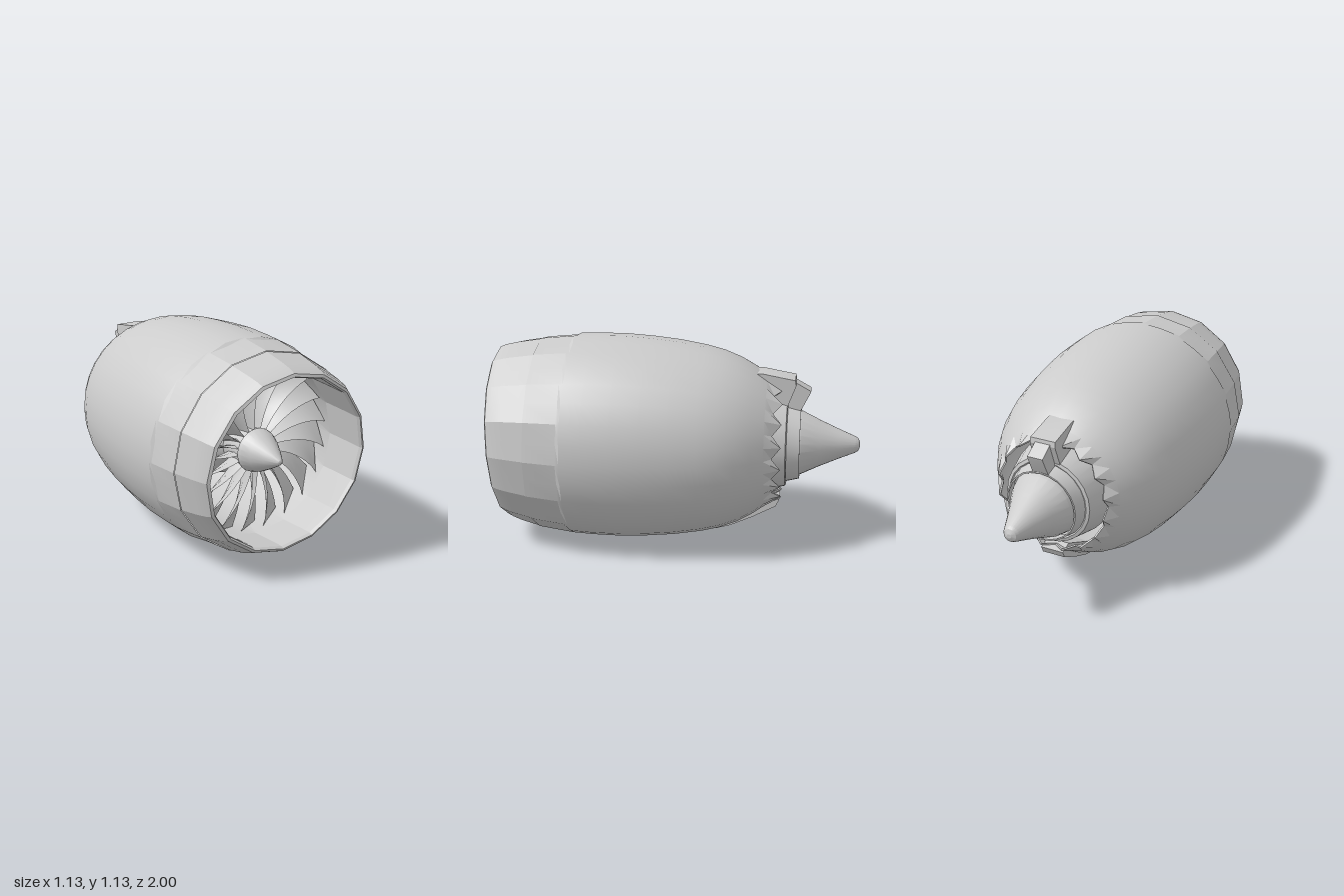
import * as THREE from 'three';
import { toCreasedNormals } from 'three/addons/utils/BufferGeometryUtils.js';

const material = new THREE.MeshStandardMaterial({ color: 0xcccccc, side: THREE.DoubleSide });

// Skin a series of closed cross-section loops
function skin(rings, crease = 0.3) {
  const n = rings[0].length;
  const index = [];
  for (let i = 0; i < rings.length - 1; i++) {
    for (let j = 0; j < n; j++) {
      const k = (j + 1) % n;
      const a = i * n + j, b = a + n, c = (i + 1) * n + k, d = i * n + k;
      index.push(a, d, c, a, c, b);
    }
  }
  const geo = new THREE.BufferGeometry();
  geo.setAttribute('position', new THREE.Float32BufferAttribute(rings.flat(2), 3));
  geo.setIndex(index);
  return toCreasedNormals(geo, crease);
}

// Ring around the engine axis; coarse rings sit on a polygon with half the sides
function ring(z, r, { n = 32, cy = 0.565, tilt = 0, coarse = false, chevron = 0 } = {}) {
  return Array.from({ length: n }, (_, j) => {
    const a = (j / n) * Math.PI * 2;
    const odd = j % 2 === 1;
    const rr = coarse && odd ? r * Math.cos((2 * Math.PI) / n) : r;
    const dz = tilt * Math.cos(a) + (odd ? -chevron : chevron);
    return [rr * Math.sin(a), cy + rr * Math.cos(a), z + dz];
  });
}

function add(parent, name, geo) {
  const mesh = new THREE.Mesh(geo, material);
  mesh.name = name;
  parent.add(mesh);
  return mesh;
}

// Side profile given as [z, y], extruded across x and flared below its top
function fairing(points, width, flare = 0) {
  const shape = new THREE.Shape(points.map(([z, y]) => new THREE.Vector2(-z, y)));
  const geo = new THREE.ExtrudeGeometry(shape, { depth: width, bevelEnabled: false });
  geo.translate(0, 0, -width / 2).rotateY(Math.PI / 2);
  const top = Math.max(...points.map((p) => p[1]));
  const pos = geo.attributes.position;
  for (let i = 0; i < pos.count; i++) {
    pos.setX(i, pos.getX(i) * (1 + flare * (top - pos.getY(i))));
  }
  return toCreasedNormals(geo, 0.3);
}

// One twisted, swept fan blade pointing up from the axis
function bladeGeometry() {
  const rings = [];
  const steps = 8;
  for (let i = 0; i <= steps; i++) {
    const t = i / steps;
    const r = 0.1 + 0.358 * t;
    const stagger = 0.2 + 0.85 * t;
    const chord = 0.13 + 0.045 * t;
    const lead = -0.1 + 0.27 * t * (0.6 + 0.4 * t);
    const thick = 0.006 - 0.002 * t;
    const section = [[0, 0], [0.3, 1], [0.7, 1], [1, 0], [0.7, -1], [0.3, -1]];
    rings.push(section.map(([u, v]) => {
      const camber = 0.012 * Math.sin(Math.PI * u);
      const off = v * thick + camber;
      const side = -u * chord * Math.sin(stagger) + off * Math.cos(stagger);
      const back = u * chord * Math.cos(stagger) + off * Math.sin(stagger);
      const a = lead + side / r;
      return [r * Math.sin(a), r * Math.cos(a), -back - 0.02 * t];
    }));
  }
  return skin(rings, 0.6);
}

export function createModel() {
  const model = new THREE.Group();
  model.name = 'turbofanEngine';

  // Inlet lip with a forward-leaning mouth, sixteen broad facets
  const lip = { coarse: true, cy: 0.57, tilt: 0.027 };
  add(model, 'inletLip', skin([
    ring(0.70, 0.467, { coarse: true }),
    ring(0.88, 0.458, { ...lip, tilt: 0.015 }),
    ring(0.955, 0.455, lip),
    ring(0.973, 0.463, lip),
    ring(0.965, 0.478, lip),
    ring(0.935, 0.492, lip),
    ring(0.88, 0.508, { ...lip, tilt: 0.015 }),
    ring(0.76, 0.533, { coarse: true, cy: 0.568 }),
  ]));

  // Nacelle: duct wall, scalloped trailing edge and outer skin
  const outer = [[0.56, 0.559], [0.45, 0.564], [0.3, 0.565], [0.15, 0.556], [0, 0.541],
    [-0.15, 0.516], [-0.25, 0.491], [-0.34, 0.456], [-0.42, 0.412], [-0.49, 0.363]];
  add(model, 'nacelle', skin([
    ring(0.76, 0.536, { coarse: true, cy: 0.568 }),
    ring(0.58, 0.557, { coarse: true }),
    ...outer.map(([z, r]) => ring(z, r)),
    ring(-0.555, 0.315, { chevron: 0.024 }),
    ring(-0.55, 0.307, { chevron: 0.024 }),
    ring(-0.47, 0.35),
    ring(-0.3, 0.42),
    ring(0, 0.47),
    ring(0.4, 0.475),
    ring(0.7, 0.467, { coarse: true }),
  ]));

  // Fan
  const fan = new THREE.Group();
  fan.name = 'fan';
  fan.position.set(0, 0.56, 0.69);
  model.add(fan);
  const blade = bladeGeometry();
  const count = 20;
  for (let i = 0; i < count; i++) {
    add(fan, 'fanBlade', blade).rotation.z = (i / count) * Math.PI * 2;
  }

  // Spinner and hub
  const hub = { n: 24, cy: 0.56 };
  add(model, 'spinner', skin([
    [0.905, 0.0005], [0.9, 0.012], [0.89, 0.02], [0.83, 0.056], [0.76, 0.093],
    [0.71, 0.113], [0.69, 0.117], [0.685, 0.108], [0.55, 0.112],
  ].map(([z, r]) => ring(z, r, hub))));

  // Core cowl inside the bypass duct, ending in the core nozzle
  add(model, 'coreCowl', skin([
    [0.55, 0.112], [0.45, 0.2], [0.2, 0.27], [-0.2, 0.3], [-0.45, 0.28],
    [-0.6, 0.243], [-0.605, 0.225], [-0.6, 0.218], [-0.675, 0.2], [-0.675, 0.192],
    [-0.6, 0.205],
  ].map(([z, r]) => ring(z, r, hub))));

  // Exhaust cone
  add(model, 'exhaustCone', skin([
    [-0.5, 0.2], [-0.6, 0.197], [-0.68, 0.176], [-0.78, 0.128], [-0.88, 0.084],
    [-0.975, 0.045], [-0.99, 0.035], [-1, 0.012], [-1, 0.0005],
  ].map(([z, r]) => ring(z, r, hub))));

  // Pylon fairing on top of the nozzle
  add(model, 'pylonFairing', fairing([
    [-0.38, 0.96], [-0.46, 0.962], [-0.64, 0.93], [-0.645, 0.9], [-0.6, 0.78], [-0.4, 0.8],
  ], 0.14, 0.5));
  add(model, 'pylonTail', fairing([
    [-0.5, 0.92], [-0.64, 0.912], [-0.725, 0.865], [-0.72, 0.85], [-0.67, 0.75], [-0.5, 0.75],
  ], 0.085, 0.4));

  // Keel fairing under the nozzle
  add(model, 'keelFairing', fairing([
    [-0.13, 0.07], [-0.16, 0.057], [-0.22, 0.052], [-0.3, 0.075], [-0.42, 0.13],
    [-0.55, 0.2], [-0.57, 0.24], [-0.5, 0.26], [-0.3, 0.16],
  ], 0.13));

  return model;
}
